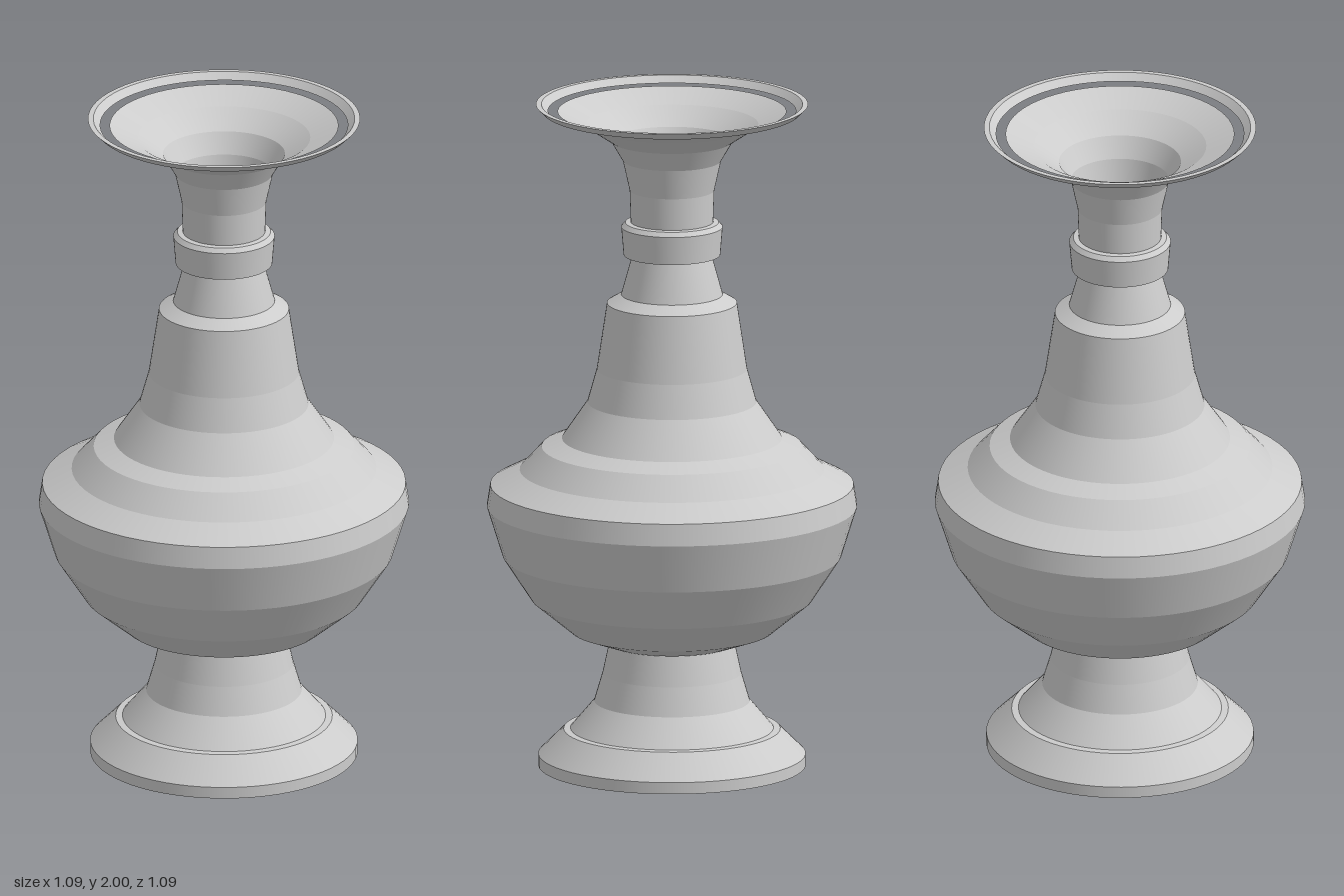
import * as THREE from 'three';
import { mergeGeometries } from 'three/addons/utils/BufferGeometryUtils.js';

const SEGMENTS = 64;

// Turned surface: round about the axis, with a crisp crease at every profile point
function turned(profile) {
  const bands = [];
  for (let i = 0; i < profile.length - 1; i++) {
    const pair = [profile[i], profile[i + 1]].map(([r, y]) => new THREE.Vector2(r, y));
    bands.push(new THREE.LatheGeometry(pair, SEGMENTS));
  }
  return mergeGeometries(bands);
}

export function createModel() {
  const group = new THREE.Group();
  const clay = new THREE.MeshStandardMaterial({ color: 0xcccccc, side: THREE.DoubleSide });
  clay.name = 'light grey';

  // Profiles run upward as [radius, height]
  const parts = {
    // Hollow flared foot with a small step
    foot: [[0.395, 0], [0.395, 0.035], [0.32, 0.11], [0.3, 0.112], [0.23, 0.195], [0.205, 0.28], [0.185, 0.372]],
    // Closed bowl of the belly
    belly: [[0, 0.372], [0.195, 0.372], [0.3, 0.41], [0.415, 0.505], [0.5, 0.635], [0.547, 0.785], [0.537, 0.85]],
    // Stepped shoulder rising into the tapered upper body
    shoulder: [[0.537, 0.85], [0.45, 0.895], [0.385, 0.965], [0.325, 0.99], [0.25, 1.1], [0.222, 1.2], [0.192, 1.4], [0.15, 1.425]],
    // Lower neck, closed at its top
    lowerNeck: [[0.15, 1.425], [0.118, 1.54], [0, 1.54]],
    // Raised band around the neck
    collar: [[0.115, 1.54], [0.143, 1.545], [0.15, 1.63], [0.138, 1.643], [0.122, 1.645]],
    // Trumpet-shaped mouth
    mouth: [[0.115, 1.54], [0.122, 1.65], [0.125, 1.74], [0.145, 1.83], [0.18, 1.89], [0.255, 1.94], [0.338, 1.978]],
    // Separate lip ring, leaving a narrow gap around the mouth
    lipRing: [[0.366, 1.98], [0.382, 1.98], [0.402, 2], [0.386, 2], [0.366, 1.98]],
  };

  for (const [name, profile] of Object.entries(parts)) {
    const mesh = new THREE.Mesh(turned(profile), clay);
    mesh.name = name;
    group.add(mesh);
  }
  return group;
}
